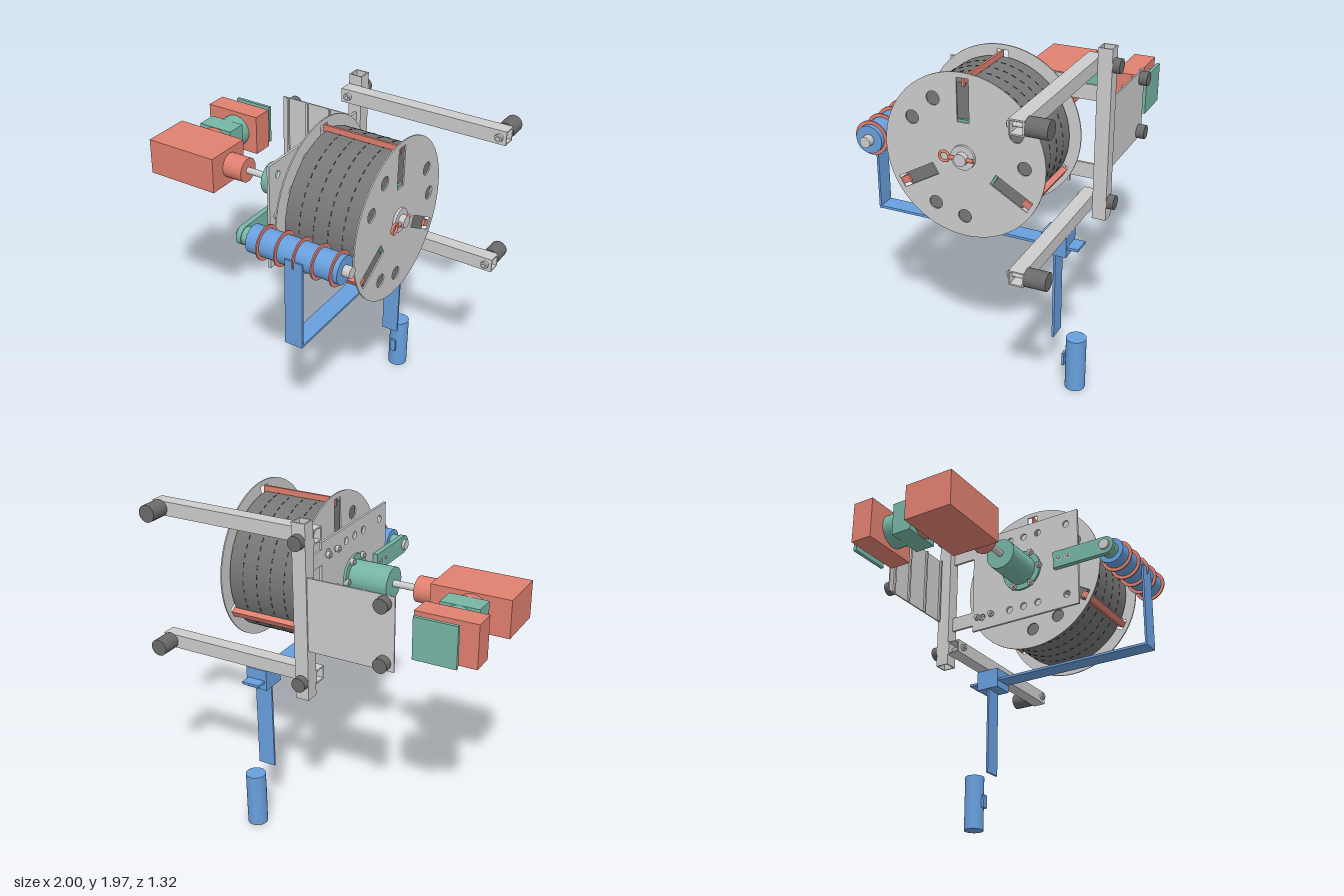
import * as THREE from 'three';

const GREY = 0xcccccc, DARK = 0x6a6a6a, RED = 0xe08070, TEAL = 0x76b5a5, BLUE = 0x689fdd;
const CY = 1.46, CZ = -0.015; // reel axis
const mats = {};
const mat = (color) => (mats[color] ??= new THREE.MeshStandardMaterial({ color, side: THREE.DoubleSide }));

export function createModel() {
  const root = new THREE.Group();

  const add = (name, geo, color, parent = root) => {
    const m = new THREE.Mesh(geo, mat(color));
    m.name = name;
    parent.add(m);
    return m;
  };
  const box = (name, color, x0, x1, y0, y1, z0, z1, parent) => {
    const m = add(name, new THREE.BoxGeometry(x1 - x0, y1 - y0, z1 - z0), color, parent);
    m.position.set((x0 + x1) / 2, (y0 + y1) / 2, (z0 + z1) / 2);
    return m;
  };
  // cylinders along x, y or z, from a to b on that axis
  const rod = (name, color, axis, r, a, b, u, v, sides = 32) => {
    const g = new THREE.CylinderGeometry(r, r, b - a, sides);
    const c = (a + b) / 2;
    if (axis === 'x') g.rotateZ(Math.PI / 2).translate(c, u, v);
    if (axis === 'y') g.translate(u, c, v);
    if (axis === 'z') g.rotateX(Math.PI / 2).translate(u, v, c);
    return add(name, g, color);
  };
  // flat profile whose horizontal runs towards -z, extruded along +x
  const sidePlate = (name, color, shape, x, depth, y = CY, z = CZ) => {
    const g = new THREE.ExtrudeGeometry(shape, { depth, bevelEnabled: false, curveSegments: 32 });
    g.rotateY(Math.PI / 2).translate(x, y, z);
    return add(name, g, color);
  };
  const circle = (x, y, r) => new THREE.Path().absarc(x, y, r, 0, Math.PI * 2, true);
  const polygon = (pts, Type = THREE.Shape) => new Type(pts.map(([x, y]) => new THREE.Vector2(x, y)));

  // Reel side discs with three slots and six round holes
  const disc = new THREE.Shape().absarc(0, 0, 0.47, 0, Math.PI * 2, false);
  for (let k = 0; k < 3; k++) {
    const a = Math.PI / 2 + (k * Math.PI * 2) / 3;
    const c = Math.cos(a), s = Math.sin(a);
    disc.holes.push(polygon([[0.195, -0.035], [0.195, 0.035], [0.44, 0.035], [0.44, -0.035]]
      .map(([r, t]) => [r * c - t * s, r * s + t * c]), THREE.Path));
    for (const h of [Math.PI / 6, Math.PI / 3]) {
      disc.holes.push(circle(0.35 * Math.cos(a + h), 0.35 * Math.sin(a + h), 0.039));
    }
  }
  sidePlate('innerReelDisc', GREY, disc, 0.111, 0.008);
  sidePlate('outerReelDisc', GREY, disc, 0.594, 0.008);

  // Wound drum with rows of dashes
  rod('drum', 0x777777, 'x', 0.408, 0.135, 0.58, CY, CZ, 96);
  const dashes = new THREE.Group();
  dashes.name = 'drumDashes';
  root.add(dashes);
  for (let row = 0; row < 4; row++) {
    for (let i = 0; i < 48; i++) {
      const g = new THREE.BoxGeometry(0.006, 0.004, 0.026);
      g.translate(0.225 + row * 0.089, 0.408, 0).rotateX((i * Math.PI) / 24);
      add('dash', g.translate(0, CY, CZ), 0x444444, dashes);
    }
  }

  // Cross bars joining the discs
  for (let k = 0; k < 3; k++) {
    const g = new THREE.BoxGeometry(0.475, 0.05, k ? 0.04 : 0.014);
    g.translate(0.356, 0.416, 0).rotateX((k * Math.PI * 2) / 3);
    add('reelCrossBar', g.translate(0, CY, CZ), RED);
  }

  // Hub, flanges and axle
  rod('innerFlange', TEAL, 'x', 0.21, 0.119, 0.134, CY, CZ, 48);
  rod('outerFlange', TEAL, 'x', 0.21, 0.581, 0.594, CY, CZ, 48);
  rod('hub', GREY, 'x', 0.088, 0.025, 0.112, CY, CZ);
  rod('axleCollar', GREY, 'x', 0.07, 0.602, 0.618, CY, CZ);
  rod('axleEnd', GREY, 'x', 0.036, 0.61, 0.652, CY, CZ);
  rod('lockPin', RED, 'z', 0.011, -0.085, 0.06, 0.632, CY, 12);
  const ring = new THREE.TorusGeometry(0.028, 0.008, 8, 24).rotateY(Math.PI / 2);
  add('pinRing', ring, RED).position.set(0.632, CY, 0.085);
  for (let k = 0; k < 6; k++) {
    const a = Math.PI / 6 + (k * Math.PI) / 3;
    const y = CY + 0.16 * Math.sin(a), z = CZ + 0.16 * Math.cos(a);
    rod('flangeBolt', GREY, 'x', 0.016, 0.095, 0.112, y, z, 6);
  }

  // Bearing plate with arms reaching back to the post
  const plate = polygon([[-0.38, -0.32], [0.37, -0.32], [0.37, -0.28], [0.52, -0.28], [0.52, -0.19],
    [0.37, -0.19], [0.37, 0.19], [0.52, 0.19], [0.52, 0.28], [0.37, 0.28], [0.37, 0.32], [-0.38, 0.32]]);
  for (const y of [-0.24, 0.24]) {
    for (let i = -3; i <= 3; i++) if (Math.abs(i) !== 2) plate.holes.push(circle(i * 0.1, y, 0.022));
  }
  sidePlate('bearingPlate', GREY, plate, 0.002, 0.015);
  const plateBolts = [];
  for (const y of [-0.24, 0.24]) for (const z of [-0.34, -0.24]) plateBolts.push([CY + y, z]);
  for (let k = 0; k < 6; k++) {
    const a = (k * Math.PI) / 3;
    plateBolts.push([CY + 0.12 * Math.sin(a), CZ + 0.12 * Math.cos(a)]);
  }
  plateBolts.push([CY, 0.25], [CY, 0.31]);
  for (const [y, z] of plateBolts) {
    rod('plateBoltShank', GREY, 'x', 0.01, -0.035, 0.045, y, z, 12);
    rod('plateBoltHead', GREY, 'x', 0.02, -0.028, -0.008, y, z, 6);
    rod('plateNut', GREY, 'x', 0.02, 0.017, 0.035, y, z, 6);
  }

  // Square tube frame
  const tube = (len) => {
    const s = polygon([[-0.041, -0.041], [0.041, -0.041], [0.041, 0.041], [-0.041, 0.041]]);
    s.holes.push(polygon([[-0.033, -0.033], [-0.033, 0.033], [0.033, 0.033], [0.033, -0.033]], THREE.Path));
    return new THREE.ExtrudeGeometry(s, { depth: len, bevelEnabled: false });
  };
  add('uprightTube', tube(1.02).rotateX(-Math.PI / 2).translate(0.002, 0.945, -0.578), GREY);
  for (const y of [1.05, 1.865]) {
    add('frameArm', tube(1.03).rotateY(Math.PI / 2).translate(-0.04, y, -0.496), GREY);
    rod('armFoot', DARK, 'z', 0.05, -0.655, -0.537, 0.945, y);
    rod('uprightFoot', DARK, 'z', 0.042, -0.66, -0.619, 0.002, y);
    for (const x of [0.005, 0.95]) {
      rod('frameBolt', GREY, 'z', 0.012, -0.62, -0.43, x, y, 12);
      rod('frameBoltHead', GREY, 'z', 0.024, -0.455, -0.438, x, y, 6);
    }
  }

  // Rear plate with thin ribs and feet
  box('rearPlate', GREY, -0.55, -0.04, 1.245, 1.67, -0.612, -0.604);
  for (const x of [-0.51, -0.37, -0.21, -0.06]) box('plateRib', GREY, x - 0.006, x + 0.006, 1.245, 1.67, -0.604, -0.592);
  for (const y of [1.29, 1.625]) rod('plateFoot', DARK, 'z', 0.042, -0.66, -0.612, -0.49, y);

  // Drive train on the reel axis
  rod('bearingHousing', TEAL, 'x', 0.095, -0.25, 0.002, CY, -0.022);
  rod('housingFlange', TEAL, 'x', 0.13, -0.012, 0.002, CY, -0.022);
  rod('driveShaft', GREY, 'x', 0.02, -0.41, -0.24, CY, -0.02);
  rod('gearboxNose', RED, 'x', 0.075, -0.54, -0.405, CY, -0.02);
  box('gearbox', RED, -1, -0.535, 1.345, 1.567, -0.155, 0.15);

  // Motor stack behind the gearbox
  rod('motorNeck', RED, 'z', 0.098, -0.21, -0.15, -0.778, CY);
  rod('motorBody', TEAL, 'z', 0.1, -0.41, -0.2, -0.778, CY);
  box('motorMount', TEAL, -0.892, -0.665, 1.36, 1.56, -0.325, -0.2);
  box('motorHousing', RED, -0.978, -0.62, 1.335, 1.585, -0.54, -0.408);
  box('motorCoverNeck', TEAL, -0.86, -0.675, 1.375, 1.545, -0.582, -0.54);
  box('motorCover', TEAL, -0.89, -0.643, 1.34, 1.58, -0.6, -0.58);

  // Guide roller carried by a round-ended arm
  const arm = new THREE.Shape();
  arm.moveTo(-0.21, -0.055).lineTo(-0.21, 0.055).lineTo(-0.56, 0.055);
  arm.absarc(-0.56, 0, 0.055, Math.PI / 2, Math.PI * 1.5, false);
  sidePlate('rollerArm', TEAL, arm, -0.028, 0.03, 1.455, 0);
  rod('rollerShaft', GREY, 'x', 0.032, -0.045, 0.655, 1.455, 0.56, 24);
  rod('rollerSpacer', TEAL, 'x', 0.05, 0.0, 0.05, 1.455, 0.56);
  rod('roller', BLUE, 'x', 0.08, 0.05, 0.612, 1.455, 0.56, 40);
  for (let i = 0; i < 5; i++) rod('rollerRing', RED, 'x', 0.1, 0.128 + i * 0.112, 0.136 + i * 0.112, 1.455, 0.56, 40);

  // Strap running down, back under the reel and through a guide to the weight
  box('strapFront', BLUE, 0.302, 0.41, 0.925, 1.46, 0.635, 0.648);
  box('strapBottom', BLUE, 0.302, 0.41, 0.925, 0.94, -0.6, 0.648);
  box('strapGuide', BLUE, 0.29, 0.422, 0.88, 1.005, -0.535, -0.385);
  box('strapHanging', BLUE, 0.302, 0.408, 0.335, 0.9, -0.468, -0.455);
  rod('weight', BLUE, 'y', 0.059, 0, 0.335, 0.357, -0.587);
  box('weightStem', BLUE, 0.347, 0.367, 0.15, 0.19, -0.54, -0.515);
  box('weightTab', BLUE, 0.34, 0.375, 0.13, 0.212, -0.52, -0.506);

  return root;
}
